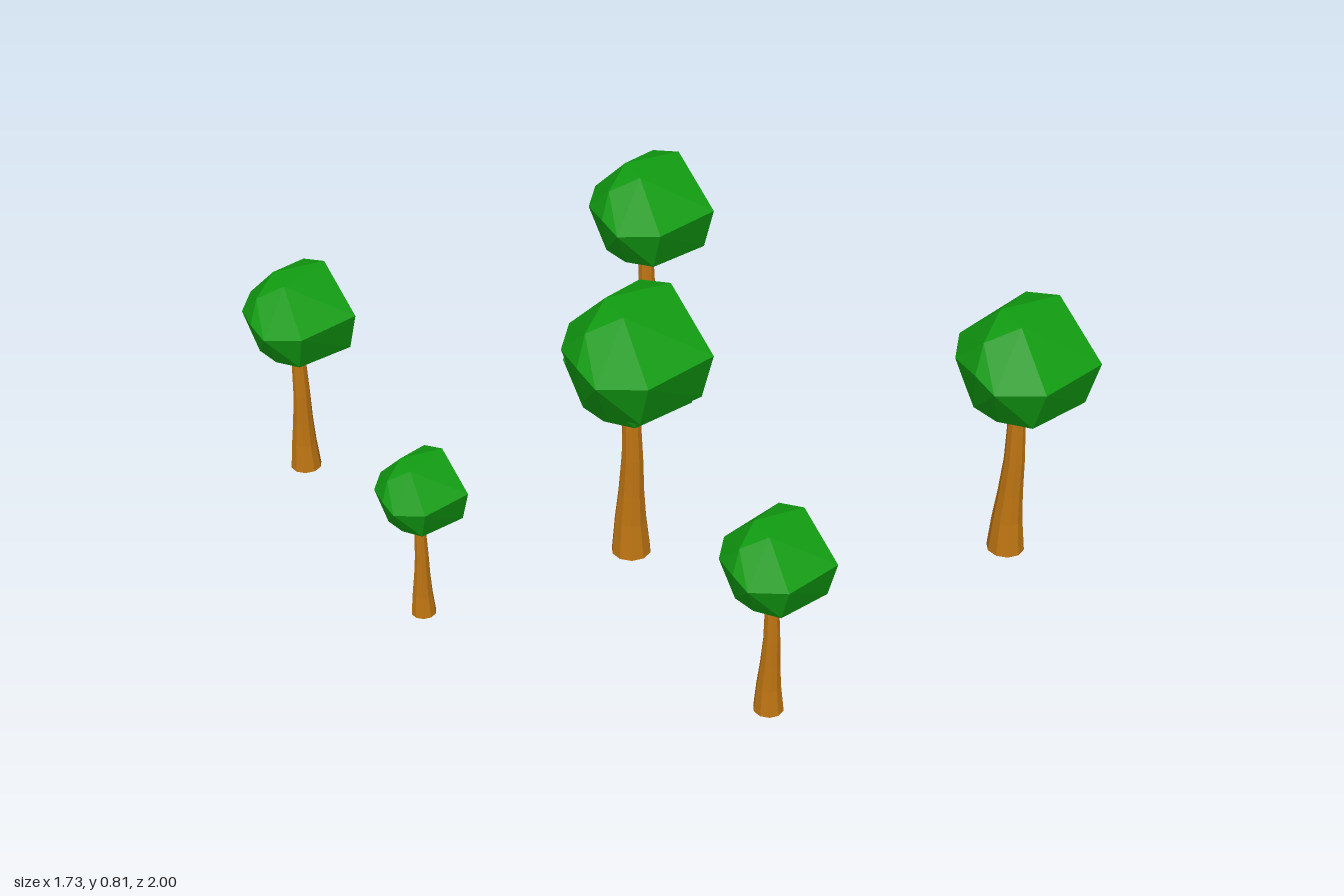
import * as THREE from 'three';
import { ConvexGeometry } from 'three/addons/geometries/ConvexGeometry.js';

const leafMat = new THREE.MeshStandardMaterial({ color: 0x119c11, flatShading: true });
const barkMat = new THREE.MeshStandardMaterial({ color: 0xbd7412, flatShading: true });

// Faceted crown: convex hull of a few corner points
function crownGeometry() {
  const corners = [
    // top
    [-0.06, 0.762, 0.05], [0.13, 0.77, 0.0], [-0.04, 0.765, -0.05], [0.115, 0.735, -0.11], [-0.13, 0.71, -0.016],
    // middle ring
    [0.064, 0.62, -0.2], [0.143, 0.63, -0.2], [0.175, 0.6, -0.063], [0.175, 0.57, 0.064], [0.138, 0.63, 0.165],
    [-0.085, 0.625, 0.183], [-0.164, 0.6, 0.07], [-0.169, 0.63, 0], [-0.137, 0.62, -0.11], [-0.063, 0.64, -0.174],
    // underside
    [0.137, 0.487, 0.12], [0.172, 0.5, 0], [0.13, 0.488, -0.165], [0.1, 0.465, 0.01],
    [-0.095, 0.466, 0.02], [-0.07, 0.49, 0.13], [-0.06, 0.5, -0.15], [-0.115, 0.485, -0.05],
  ];
  return new ConvexGeometry(corners.map((c) => new THREE.Vector3(...c)));
}

// Flared trunk with a slight bend: [height, radius, z shift] per ring
function trunkGeometry() {
  const rings = [[0, 0.053, 0], [0.1, 0.043, -0.002], [0.19, 0.035, 0.002], [0.3, 0.029, 0.007], [0.5, 0.022, 0.002]];
  const geo = new THREE.CylinderGeometry(1, 1, 1, 10, rings.length - 1);
  const pos = geo.attributes.position;
  for (let i = 0; i < pos.count; i++) {
    const [y, r, dz] = rings[Math.round((pos.getY(i) + 0.5) * (rings.length - 1))];
    pos.setXYZ(i, pos.getX(i) * r, y, pos.getZ(i) * r + dz);
  }
  geo.computeVertexNormals();
  return geo;
}

export function createModel() {
  const model = new THREE.Group();
  model.name = 'treeGrove';
  const crownGeo = crownGeometry();
  const trunkGeo = trunkGeometry();

  // [x, z, scale] of each tree
  const trees = [
    [-0.765, 0.035 - 0.065, 0.645],
    [-0.637, -0.83, 0.84],
    [-0.295, 0.86, 0.765],
    [-0.147, 0.088, 1.055],
    [0.44, -0.6, 0.955],
    [0.685, 0.722, 1],
  ];
  trees.forEach(([x, z, s], i) => {
    const tree = new THREE.Group();
    tree.name = `tree${i + 1}`;
    const trunk = new THREE.Mesh(trunkGeo, barkMat);
    trunk.name = 'trunk';
    const crown = new THREE.Mesh(crownGeo, leafMat);
    crown.name = 'crown';
    tree.add(trunk, crown);
    tree.position.set(x, 0, z);
    tree.scale.setScalar(s);
    model.add(tree);
  });

  // Smaller second crown tucked under the tallest one
  const lower = new THREE.Mesh(crownGeo, leafMat);
  lower.name = 'lowerCrown';
  lower.position.set(-0.135, 0, 0.055);
  lower.scale.setScalar(0.97);
  model.add(lower);
  return model;
}
